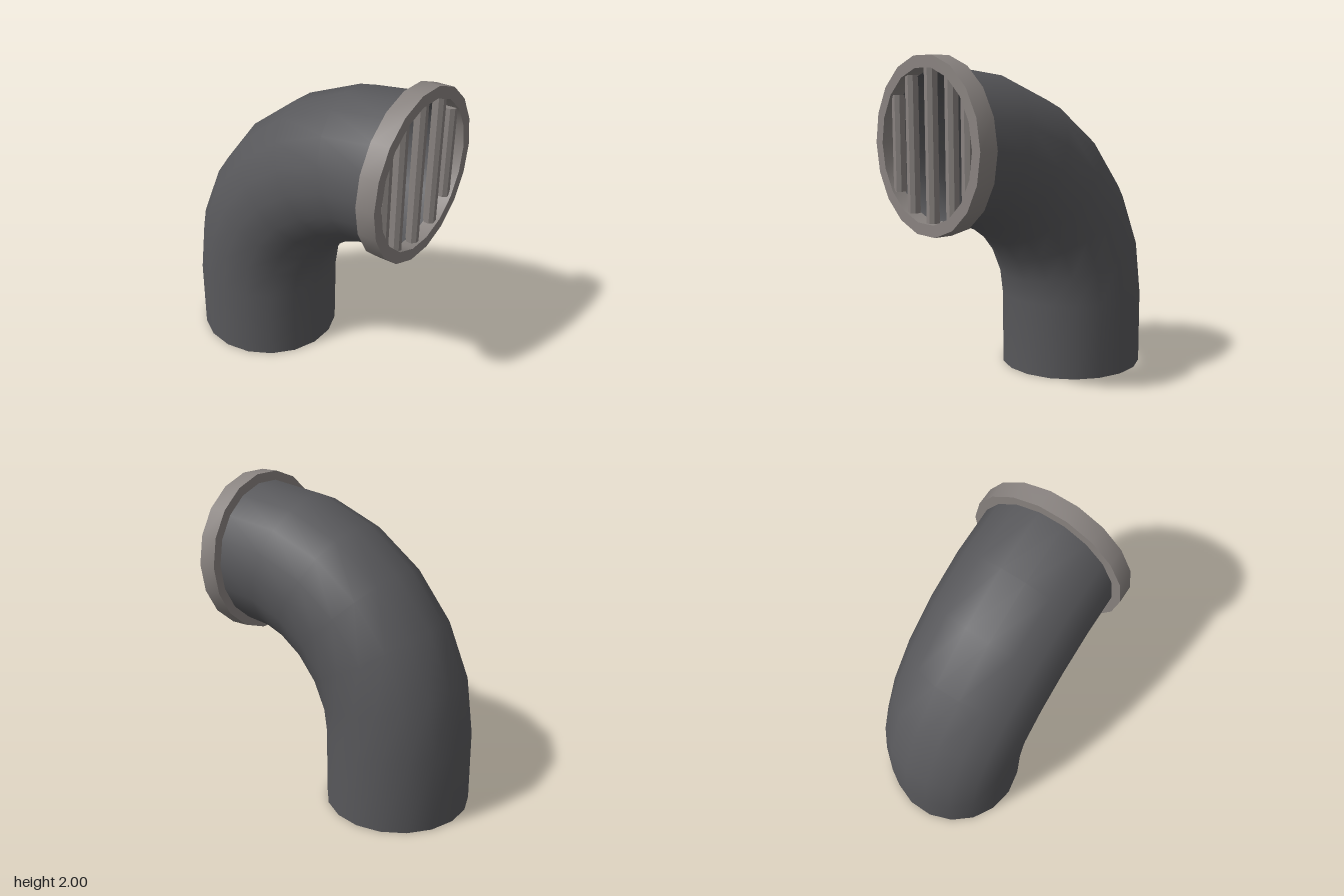
import * as THREE from 'three';
import { toCreasedNormals } from 'three/addons/utils/BufferGeometryUtils.js';

const SIDES = 18;
const CENTRE_Y = 1.487; // height of the outlet axis

// Skin rings that follow the bent centre line; each station is { x, y, a, r }
function sweep(stations) {
  const pos = [], index = [];
  for (const { x, y, a, r } of stations) {
    for (let j = 0; j < SIDES; j++) {
      const t = (j / SIDES) * Math.PI * 2;
      const n = r * Math.sin(t);
      pos.push(x - n * Math.cos(a), y + n * Math.sin(a), r * Math.cos(t));
    }
  }
  for (let i = 0; i < stations.length - 1; i++) {
    for (let j = 0; j < SIDES; j++) {
      const k = (j + 1) % SIDES;
      const p = i * SIDES + j, q = i * SIDES + k;
      index.push(p, p + SIDES, q, q, p + SIDES, q + SIDES);
    }
  }
  const geo = new THREE.BufferGeometry();
  geo.setAttribute('position', new THREE.Float32BufferAttribute(pos, 3));
  geo.setIndex(index);
  return toCreasedNormals(geo, 0.45);
}

// Stations from the foot to the outlet: straight riser, six bend steps, short end
function pipeStations(r, footY) {
  const list = [{ x: -0.355, y: footY, a: 0, r }];
  for (let i = 0; i <= 6; i++) {
    const a = (i / 6) * Math.PI / 2;
    list.push({ x: 0.688 - 1.043 * Math.cos(a), y: 0.47 + 1.016 * Math.sin(a), a, r });
  }
  list.push({ x: 0.73, y: CENTRE_Y, a: Math.PI / 2, r });
  return list;
}

export function createModel() {
  const group = new THREE.Group();
  const pipeGrey = new THREE.MeshStandardMaterial({ color: 0x58585b });
  pipeGrey.name = 'dark pipe grey';
  const trimGrey = new THREE.MeshStandardMaterial({ color: 0x898380 });
  trimGrey.name = 'warm trim grey';

  const add = (name, geo, mat) => {
    const mesh = new THREE.Mesh(geo, mat);
    mesh.name = name;
    group.add(mesh);
    return mesh;
  };

  // Hollow elbow: inner wall downwards, bevelled lip, outer wall upwards
  const inner = pipeStations(0.437, 0.06).reverse();
  add('elbowPipe', sweep([...inner, ...pipeStations(0.463, 0)]), pipeGrey);

  // Outlet collar
  const profile = [[0.45, 0], [0.521, 0], [0.521, 0.117], [0.45, 0.117], [0.45, 0]]
    .map(([r, h]) => new THREE.Vector2(r, h));
  const collarGeo = toCreasedNormals(new THREE.LatheGeometry(profile, SIDES), 0.6);
  const collar = add('outletCollar', collarGeo, trimGrey);
  collar.rotation.z = -Math.PI / 2;
  collar.position.set(0.688, CENTRE_Y, 0);

  // Vertical grille bars, with a flat side facing out
  for (const z of [-0.345, -0.197, 0, 0.197, 0.345]) {
    const length = 2 * Math.sqrt(0.45 ** 2 - z ** 2);
    const geo = new THREE.CylinderGeometry(0.039, 0.039, length, 8).rotateY(Math.PI / 8);
    const bar = add('grilleBar', toCreasedNormals(geo, 0.3), trimGrey);
    bar.position.set(0.752, CENTRE_Y, z);
  }

  return group;
}
